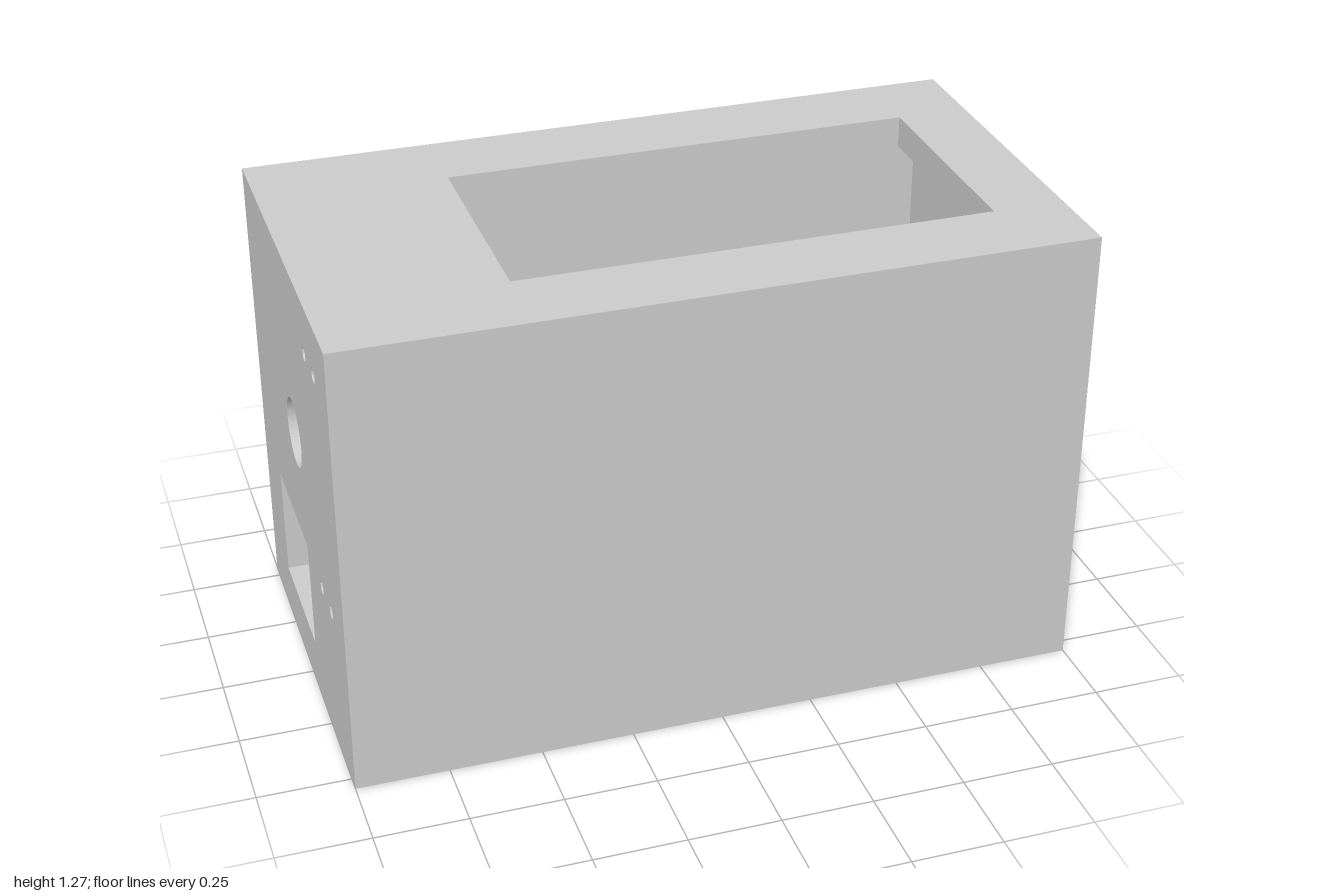
import * as THREE from 'three';
import { mergeGeometries, toCreasedNormals } from 'three/addons/utils/BufferGeometryUtils.js';

const L = 1, D = 0.543, H = 1.275, T = 0.087; // half length, half depth, height, wall
const SCREW = 0.02, PORT = 0.094;

const rect = (x0, y0, x1, y1) =>
  [[x0, y0], [x1, y0], [x1, y1], [x0, y1]].map(([x, y]) => new THREE.Vector2(x, y));

function circle(x, y, r, n = r > 0.05 ? 48 : 24) {
  const pts = [];
  for (let i = 0; i < n; i++) {
    const a = (i / n) * Math.PI * 2;
    pts.push(new THREE.Vector2(x + r * Math.cos(a), y + r * Math.sin(a)));
  }
  return pts;
}

// Flat face in the local XY plane, optionally turned to look along -z
function face(outline, holes, z = 0, flip = false) {
  const shape = new THREE.Shape(outline);
  shape.holes = holes.map((h) => new THREE.Path(h));
  const g = new THREE.ShapeGeometry(shape);
  g.translate(0, 0, z);
  if (flip) g.index.array.reverse();
  const flat = g.toNonIndexed();
  flat.deleteAttribute('uv');
  flat.computeVertexNormals();
  return flat;
}

// Inside surface of a cut-out, running from z = 0 to z = -depth
function lining(pts, depth) {
  const v = [];
  pts.forEach((p, i) => {
    const q = pts[(i + 1) % pts.length];
    v.push(p.x, p.y, 0, q.x, q.y, 0, q.x, q.y, -depth);
    v.push(p.x, p.y, 0, q.x, q.y, -depth, p.x, p.y, -depth);
  });
  const g = new THREE.BufferGeometry();
  g.setAttribute('position', new THREE.Float32BufferAttribute(v, 3));
  return toCreasedNormals(g, 0.6);
}

// Wall with an outer face, a smaller inner face and lined cut-outs
const wall = (outer, inner, holes = []) => mergeGeometries([
  face(outer, holes),
  face(inner, holes, -T, true),
  ...holes.map((h) => lining(h, T)),
]);

export function createModel() {
  const model = new THREE.Group();
  const material = new THREE.MeshStandardMaterial({ color: 0xcccccc });
  const add = (name, geometry, position, rx = 0, ry = 0) => {
    const mesh = new THREE.Mesh(geometry, material);
    mesh.name = name;
    mesh.position.set(...position);
    mesh.rotation.set(rx, ry, 0);
    model.add(mesh);
  };

  const longOuter = rect(-L, 0, L, H), longInner = rect(T - L, 0, L - T, H - T);
  const endOuter = rect(-D, 0, D, H), endInner = rect(T - D, 0, D - T, H - T);

  // Plain walls
  add('frontWall', wall(longOuter, longInner), [0, 0, D]);
  add('leftWall', wall(endOuter, endInner), [L, 0, 0], 0, Math.PI / 2);

  // Back wall: four screw holes and a cable port (local x is -x)
  const backHoles = [circle(-0.344, 0.22, PORT)];
  for (const x of [-0.774, -0.66])
    for (const y of [0.14, 0.825]) backHoles.push(circle(x, y, SCREW));
  add('backWall', wall(longOuter, longInner, backHoles), [0, 0, -D], 0, Math.PI);

  // Right end wall: screw holes, port and rectangular socket opening (local x is z)
  const endHoles = [circle(0, 0.76, PORT), rect(-0.317, 0.14, 0.067, 0.45)];
  for (const z of [0.257, 0.373])
    for (const y of [0.44, 1.127]) endHoles.push(circle(z, y, SCREW));
  add('rightWall', wall(endOuter, endInner, endHoles), [-L, 0, 0], 0, -Math.PI / 2);

  // Top panel with its window
  add('topPanel', wall(rect(-L, -D, L, D), rect(T - L, T - D, L - T, D - T),
    [rect(-0.49, -0.318, 0.803, 0.318)]), [0, H, 0], -Math.PI / 2);

  // Bottom rim with a blind screw hole in each corner
  const screws = [], depth = 0.25;
  for (const sx of [-1, 1])
    for (const sz of [-1, 1]) screws.push(circle(sx * (L - T / 2), sz * (D - T / 2), 0.018));
  add('bottomRim', mergeGeometries([
    face(rect(-L, -D, L, D), [rect(T - L, T - D, L - T, D - T), ...screws]),
    ...screws.map((s) => lining(s, depth)),
    ...screws.map((s) => face(s, [], -depth)),
  ]), [0, 0, 0], Math.PI / 2);

  return model;
}
